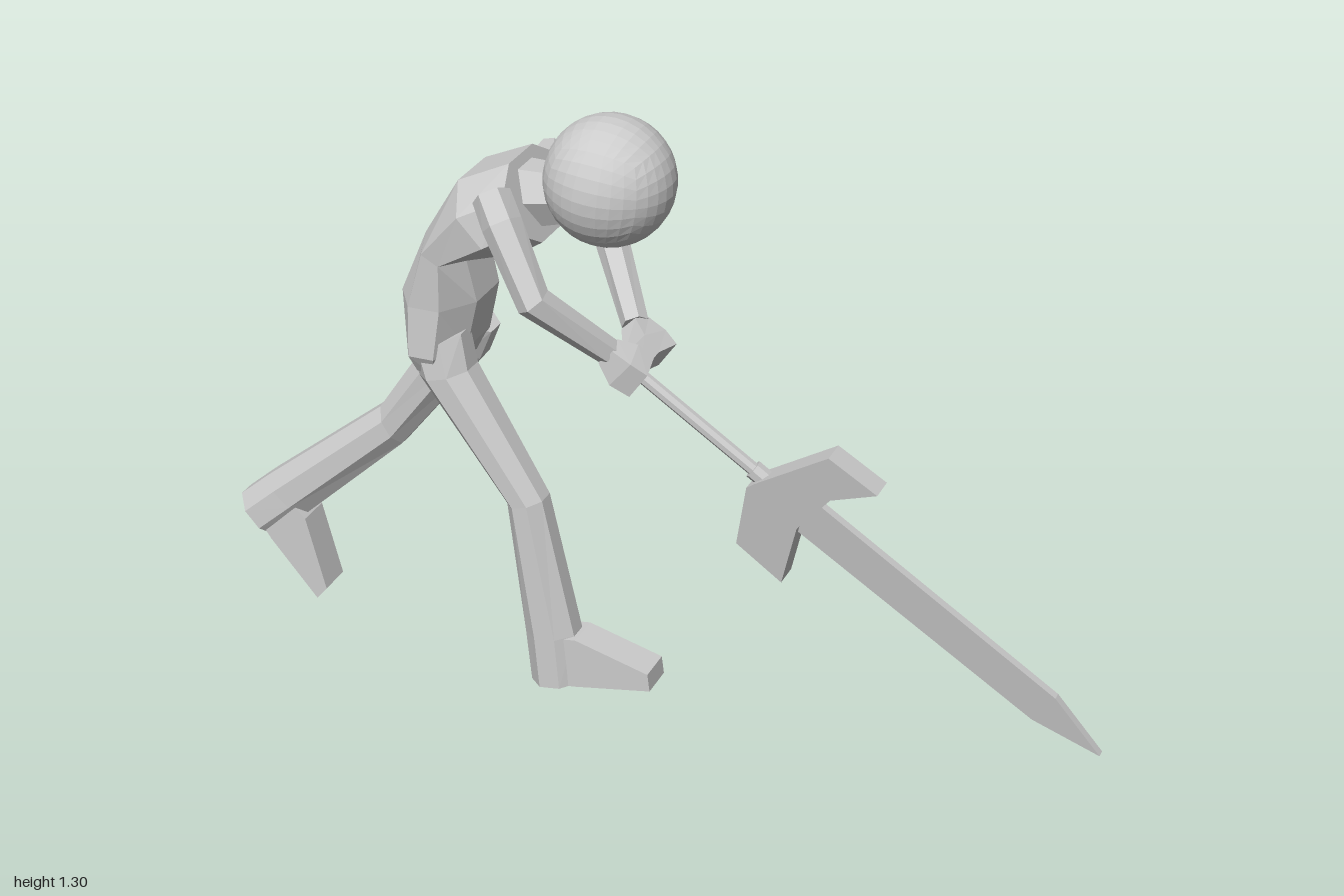
import * as THREE from 'three';

const material = new THREE.MeshStandardMaterial({ color: 0xcccccc, flatShading: true });
const V = (x, y, z) => new THREE.Vector3(x, y, z);

function addMesh(parent, name, geometry) {
  const mesh = new THREE.Mesh(geometry, material);
  mesh.name = name;
  parent.add(mesh);
  return mesh;
}

// Skins a closed, flat-shaded body over sections { c: centre, u, v: half-axes }, each with n sides.
function loft(sections, n) {
  const grow = 1 / Math.cos(Math.PI / n);
  const rings = sections.map(({ c, u, v }) => Array.from({ length: n }, (_, i) => {
    const a = ((i + 0.5) / n) * Math.PI * 2;
    return c.clone().addScaledVector(u, Math.cos(a) * grow).addScaledVector(v, Math.sin(a) * grow);
  }));
  const tris = [];
  const last = rings.length - 1;
  for (let i = 0; i < n; i++) {
    const j = (i + 1) % n;
    for (let k = 0; k < last; k++) {
      const [a, b, c, d] = [rings[k][i], rings[k][j], rings[k + 1][j], rings[k + 1][i]];
      tris.push([a, b, c], [a, c, d]);
    }
    tris.push([sections[0].c, rings[0][j], rings[0][i]]);
    tris.push([sections[last].c, rings[last][i], rings[last][j]]);
  }
  // Turn the faces outwards whichever way the sections run
  const volume = tris.reduce((s, [a, b, c]) => s + a.dot(b.clone().cross(c)), 0);
  if (volume < 0) tris.forEach((t) => t.reverse());
  const geometry = new THREE.BufferGeometry().setFromPoints(tris.flat());
  geometry.computeVertexNormals();
  return geometry;
}

// Sections across the side profile: [back x, back y, front x, front y, centre z, half width]
function profileLoft(rows, n = 8) {
  return loft(rows.map(([bx, by, fx, fy, z, w]) => ({
    c: V((bx + fx) / 2, (by + fy) / 2, z),
    u: V((fx - bx) / 2, (fy - by) / 2, 0),
    v: V(0, 0, w),
  })), n);
}

// Limb along a path of points, with one radius per point
function limbLoft(points, radii, n = 6) {
  return loft(points.map((c, i) => {
    const before = points[Math.max(i - 1, 0)];
    const after = points[Math.min(i + 1, points.length - 1)];
    const dir = after.clone().sub(before).normalize();
    const u = V(0, 0, 1).cross(dir).normalize();
    const v = dir.clone().cross(u);
    return { c, u: u.multiplyScalar(radii[i]), v: v.multiplyScalar(radii[i]) };
  }), n);
}

function rod(a, b, radius, sides) {
  return limbLoft([a, b], [radius, radius], sides);
}

// The sword lies in one leaning plane: depth follows height
const swordZ = (y) => 0.18 * y - 0.065;

function swordPlate(outline, thickness) {
  const shape = new THREE.Shape(outline.map(([x, y]) => new THREE.Vector2(x, y)));
  const geometry = new THREE.ExtrudeGeometry(shape, { depth: thickness, bevelEnabled: false });
  const p = geometry.attributes.position;
  for (let i = 0; i < p.count; i++) p.setZ(i, p.getZ(i) - thickness / 2 + swordZ(p.getY(i)));
  geometry.computeVertexNormals();
  return geometry;
}

export function createModel() {
  const model = new THREE.Group();
  model.name = 'swordFighter';

  // Head: a cube rounded into a ball
  const ball = new THREE.BoxGeometry(2, 2, 2, 8, 8, 8);
  const p = ball.attributes.position;
  for (let i = 0; i < p.count; i++) {
    const d = V().fromBufferAttribute(p, i);
    d.set(...d.toArray().map((t) => Math.tan((t * Math.PI) / 4))).setLength(0.135);
    p.setXYZ(i, d.x, d.y, d.z);
  }
  ball.computeVertexNormals();
  const head = addMesh(model, 'head', ball);
  head.position.set(-0.065, 1.165, 0);
  head.rotation.z = -0.1;

  // Bent torso and neck
  addMesh(model, 'torso', profileLoft([
    [-0.48, 0.72, -0.39, 0.71, 0, 0.11],
    [-0.5, 0.76, -0.365, 0.76, 0, 0.135],
    [-0.51, 0.87, -0.34, 0.87, 0, 0.13],
    [-0.45, 1.01, -0.36, 0.96, 0, 0.135],
    [-0.37, 1.14, -0.24, 1.0, 0, 0.155],
    [-0.26, 1.19, -0.19, 1.03, 0, 0.135],
  ]));
  addMesh(model, 'neck', profileLoft([
    [-0.27, 1.17, -0.22, 1.05, 0, 0.06],
    [-0.18, 1.17, -0.14, 1.07, 0, 0.05],
    [-0.08, 1.17, -0.07, 1.09, 0, 0.04],
  ], 6));

  // Front leg, planted on the heel
  const leftLeg = new THREE.Group();
  leftLeg.name = 'leftLeg';
  addMesh(leftLeg, 'leg', profileLoft([
    [-0.48, 0.76, -0.36, 0.81, 0.07, 0.055],
    [-0.455, 0.7, -0.345, 0.73, 0.072, 0.06],
    [-0.26, 0.44, -0.18, 0.46, 0.08, 0.048],
    [-0.222, 0.14, -0.11, 0.15, 0.08, 0.052],
    [-0.21, 0.02, -0.1, 0.035, 0.078, 0.055],
  ]));
  addMesh(leftLeg, 'foot', profileLoft([
    [-0.18, 0.025, -0.18, 0.14, 0.078, 0.04],
    [-0.1, 0.035, -0.1, 0.15, 0.078, 0.04],
    [0.07, 0.065, 0.065, 0.105, 0.078, 0.04],
  ], 4));
  model.add(leftLeg);

  // Rear leg, trailing with the toes on the ground
  const rightLeg = new THREE.Group();
  rightLeg.name = 'rightLeg';
  addMesh(rightLeg, 'leg', profileLoft([
    [-0.48, 0.79, -0.36, 0.75, -0.075, 0.055],
    [-0.49, 0.73, -0.39, 0.68, -0.08, 0.06],
    [-0.64, 0.51, -0.59, 0.43, -0.088, 0.045],
    [-0.93, 0.28, -0.84, 0.2, -0.09, 0.05],
    [-1.0, 0.22, -0.92, 0.13, -0.088, 0.052],
  ]));
  addMesh(rightLeg, 'foot', profileLoft([
    [-0.96, 0.19, -0.87, 0.24, -0.087, 0.04],
    [-0.92, 0.13, -0.83, 0.2, -0.087, 0.04],
    [-0.81, 0.0, -0.785, 0.03, -0.087, 0.04],
  ], 4));
  model.add(rightLeg);

  // Arms bowing outwards, with both fists around the grip
  for (const [name, side, handZ] of [['leftArm', 1, 0.075], ['rightArm', -1, -0.035]]) {
    const arm = new THREE.Group();
    arm.name = name;
    const elbow = V(-0.15, 0.965, side * 0.19);
    const wrist = V(-0.035, 0.83, side > 0 ? 0.085 : -0.055);
    addMesh(arm, 'sleeve', limbLoft(
      [V(-0.27, 1.145, side * 0.12), V(-0.235, 1.1, side * 0.148), elbow, wrist],
      [0.035, 0.036, 0.032, 0.025],
    ));
    addMesh(arm, 'hand', limbLoft(
      [wrist, V(-0.005, 0.8, handZ), V(0.03, 0.775, handZ + side * -0.01)],
      [0.022, 0.036, 0.034], 4,
    ));
    model.add(arm);
  }

  // Sword with a long grip and a crescent guard
  const sword = new THREE.Group();
  sword.name = 'sword';
  const at = (x, y) => V(x, y, swordZ(y));
  addMesh(sword, 'grip', rod(at(-0.05, 0.85), at(0.32, 0.56), 0.013, 8));
  addMesh(sword, 'collar', rod(at(0.265, 0.603), at(0.29, 0.583), 0.019, 8));
  addMesh(sword, 'guard', swordPlate([
    [0.28, 0.585], [0.44, 0.685], [0.54, 0.615], [0.44, 0.58],
    [0.365, 0.49], [0.325, 0.34], [0.23, 0.42], [0.26, 0.57],
  ], 0.06));
  addMesh(sword, 'blade', swordPlate([
    [0.34, 0.485], [0.855, 0.1], [1.0, 0.04], [0.905, 0.17], [0.4, 0.555],
  ], 0.02));
  model.add(sword);

  return model;
}
